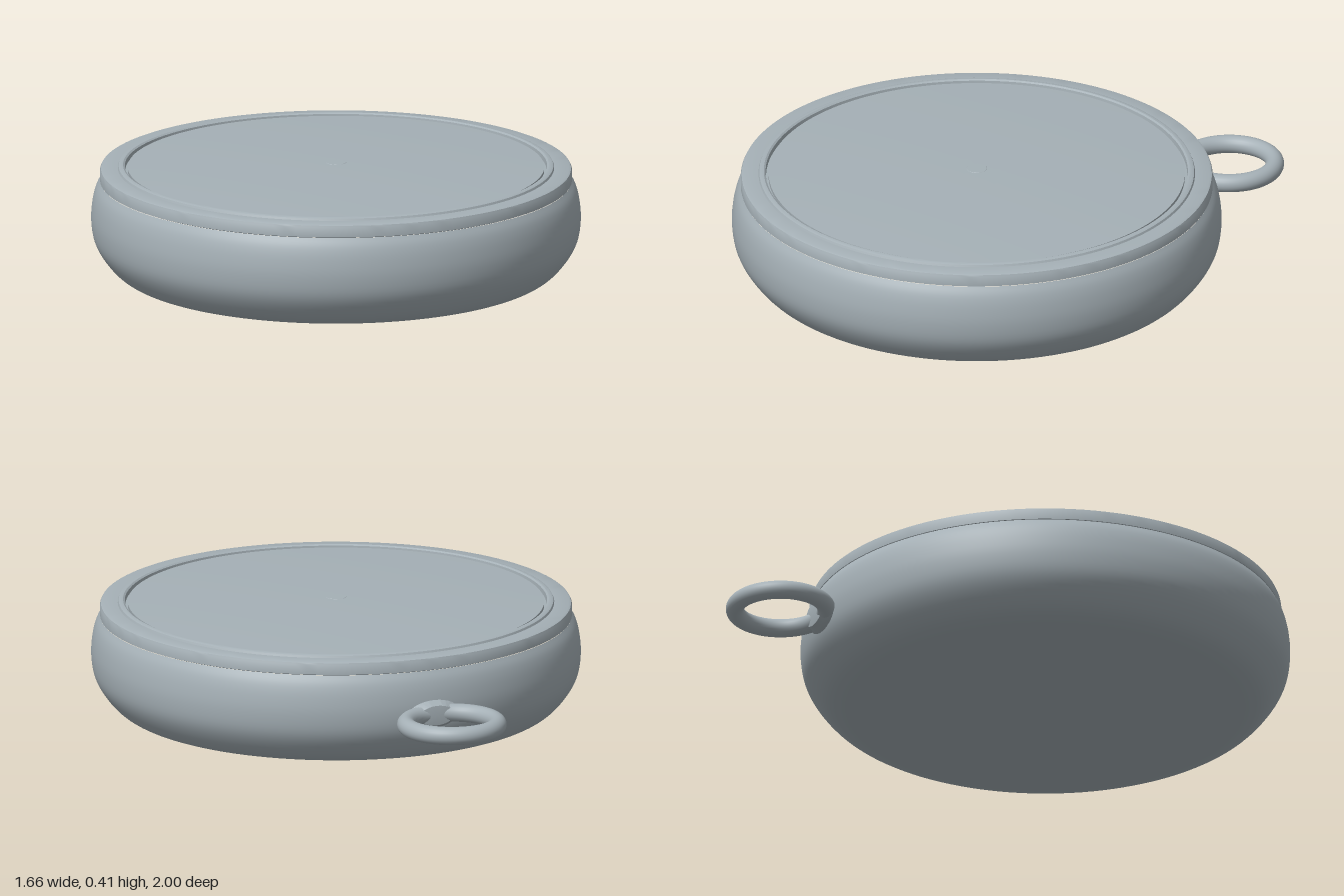
import * as THREE from 'three';
import { toCreasedNormals } from 'three/addons/utils/BufferGeometryUtils.js';

const CENTRE_Z = 0.165;

export function createModel() {
  const model = new THREE.Group();
  model.name = 'roundCase';
  const steel = new THREE.MeshStandardMaterial({ color: 0xa5b0b6 });
  steel.name = 'grey steel';

  const add = (name, geometry, x, y, z) => {
    const mesh = new THREE.Mesh(geometry, steel);
    mesh.name = name;
    mesh.position.set(x, y, z);
    model.add(mesh);
    return mesh;
  };
  const turned = (points, crease = 0.5) => toCreasedNormals(
    new THREE.LatheGeometry(points.map(([r, y]) => new THREE.Vector2(r, y)), 128), crease);

  // Rounded bowl: flat base, then a smooth bulging side
  const side = new THREE.SplineCurve([
    [0.5, 0.003], [0.6, 0.007], [0.69, 0.018], [0.745, 0.042], [0.79, 0.09],
    [0.82, 0.145], [0.83, 0.21], [0.826, 0.27], [0.815, 0.315], [0.799, 0.345],
  ].map(([r, y]) => new THREE.Vector2(r, y)));
  const bowl = [[0, 0], ...side.getPoints(36).map(p => [p.x, p.y])];
  add('body', turned(bowl), 0, 0, CENTRE_Z);

  // Stepped rim with a raised bead and a groove inside it
  add('bezel', turned([
    [0.79, 0.343], [0.8, 0.347], [0.8, 0.381], [0.797, 0.387], [0.79, 0.39],
    [0.74, 0.39], [0.737, 0.397], [0.73, 0.4], [0.722, 0.4], [0.716, 0.396],
    [0.714, 0.38], [0.704, 0.38],
  ]), 0, 0, CENTRE_Z);

  // Shallow domed lid with a tiny flat centre
  const dome = [[0.706, 0.375], [0.706, 0.392]];
  for (let i = 1; i <= 12; i++) {
    const r = 0.706 + (0.035 - 0.706) * i / 12;
    dome.push([r, 0.392 + 0.016 * (1 - (r / 0.706) ** 2)]);
  }
  dome.push([0.034, 0.409], [0, 0.409]);
  add('lid', turned(dome), 0, 0, CENTRE_Z);

  // Hanging ring lying flat behind the case
  const ring = new THREE.TorusGeometry(0.155, 0.031, 24, 72);
  ring.rotateX(Math.PI / 2);
  add('hangingRing', ring, 0, 0.2, -0.814);

  // Flared lug joining the ring to the body
  const lug = turned([[0.055, -0.04], [0.05, 0.012], [0.041, 0.028], [0.034, 0.042], [0, 0.046]], 0.7);
  lug.rotateX(-Math.PI / 2);
  add('lug', lug, 0, 0.2, -0.648).scale.x = 1.9;

  return model;
}
